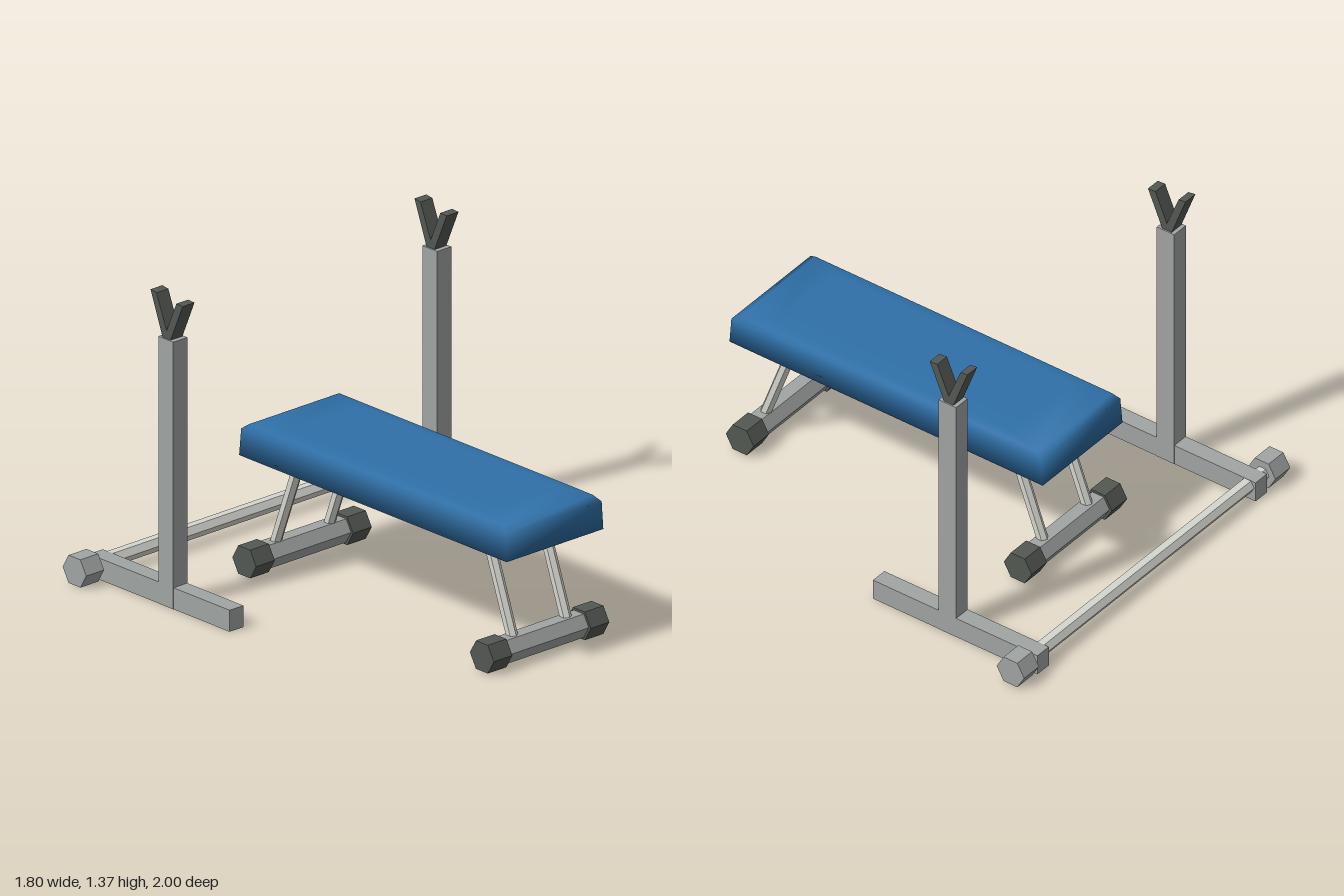
import * as THREE from 'three';

const mat = (name, color, flatShading = true) => {
  const m = new THREE.MeshStandardMaterial({ color, flatShading });
  m.name = name;
  return m;
};

export function createModel() {
  const blue = mat('blue padding', 0x2f70a8, false);
  const steel = mat('grey steel', 0xa0a4a2);
  const pale = mat('pale tube', 0xd6d6d0);
  const dark = mat('dark rubber', 0x535853);

  const model = new THREE.Group();
  model.name = 'weightBench';

  const add = (name, geometry, material, x = 0, y = 0, z = 0) => {
    const mesh = new THREE.Mesh(geometry, material);
    mesh.name = name;
    mesh.position.set(x, y, z);
    model.add(mesh);
    return mesh;
  };
  // Hexagonal bar lying along x
  const hexBar = (name, r, length, material, x, y, z) =>
    add(name, new THREE.CylinderGeometry(r, r, length, 6).rotateZ(Math.PI / 2), material, x, y, z);
  // Hexagonal tube between two points
  const strut = (name, a, b, r, material) => {
    const dir = b.clone().sub(a), mid = a.clone().add(b).multiplyScalar(0.5);
    const mesh = add(name, new THREE.CylinderGeometry(r, r, dir.length(), 6), material, mid.x, mid.y, mid.z);
    mesh.quaternion.setFromUnitVectors(new THREE.Vector3(0, 1, 0), dir.normalize());
  };

  // Padded seat: stacked rectangles [y, half width, front z, back z], softly shaded
  const rings = [
    [0.50, 0.27, 1.0, -0.615],
    [0.62, 0.268, 0.992, -0.605],
    [0.643, 0.252, 0.955, -0.575],
    [0.65, 0.2, 0.81, -0.4],
  ];
  const pos = [], idx = [];
  for (const [y, w, f, b] of rings) pos.push(-w, y, f, w, y, f, w, y, b, -w, y, b);
  for (let r = 0; r < rings.length - 1; r++) {
    for (let i = 0; i < 4; i++) {
      const a = r * 4 + i, b = r * 4 + (i + 1) % 4;
      idx.push(a, b, b + 4, a, b + 4, a + 4);
    }
  }
  const t = (rings.length - 1) * 4;
  idx.push(t, t + 1, t + 2, t, t + 2, t + 3, 0, 2, 1, 0, 3, 2);
  const seat = new THREE.BufferGeometry();
  seat.setAttribute('position', new THREE.Float32BufferAttribute(pos, 3));
  seat.setIndex(idx);
  seat.computeVertexNormals();
  add('seatPad', seat, blue);

  // Slanted legs on a foot bar with rubber ends, front and back
  for (const [label, topZ, footZ] of [['front', 0.757, 0.907], ['back', -0.375, -0.527]]) {
    hexBar(label + 'FootBar', 0.06, 0.46, steel, 0, 0.068, footZ);
    for (const s of [-1, 1]) {
      hexBar(label + 'FootCap', 0.072, 0.104, dark, s * 0.271, 0.068, footZ);
      strut(label + 'Leg', new THREE.Vector3(s * 0.15, 0.09, footZ + (topZ > 0 ? 0.005 : -0.005)),
        new THREE.Vector3(s * 0.15, 0.515, topZ), 0.025, pale);
    }
  }

  // Bar rest: a lopsided V seen from the side, given as [z, y]
  const vShape = new THREE.Shape([
    [-0.49, 1.175], [-0.415, 1.35], [-0.453, 1.352], [-0.512, 1.215],
    [-0.573, 1.365], [-0.609, 1.37], [-0.535, 1.175],
  ].map(([z, y]) => new THREE.Vector2(-z, y)));
  const rest = new THREE.ExtrudeGeometry(vShape, { depth: 0.066, bevelEnabled: false })
    .translate(0, 0, -0.033).rotateY(Math.PI / 2);

  // Rack: two posts on ground rails, joined at the back
  hexBar('crossBar', 0.034, 1.62, pale, 0, 0.064, -0.933);
  for (const s of [-1, 1]) {
    add('rackRail', new THREE.BoxGeometry(0.077, 0.095, 0.848), steel, s * 0.738, 0.0475, -0.55);
    add('rackPost', new THREE.BoxGeometry(0.079, 1.18, 0.09), steel, s * 0.738, 0.59, -0.51);
    add('barRest', rest, dark, s * 0.738);
    hexBar('crossBarCap', 0.071, 0.1, steel, s * 0.85, 0.065, -0.929);
  }
  return model;
}
